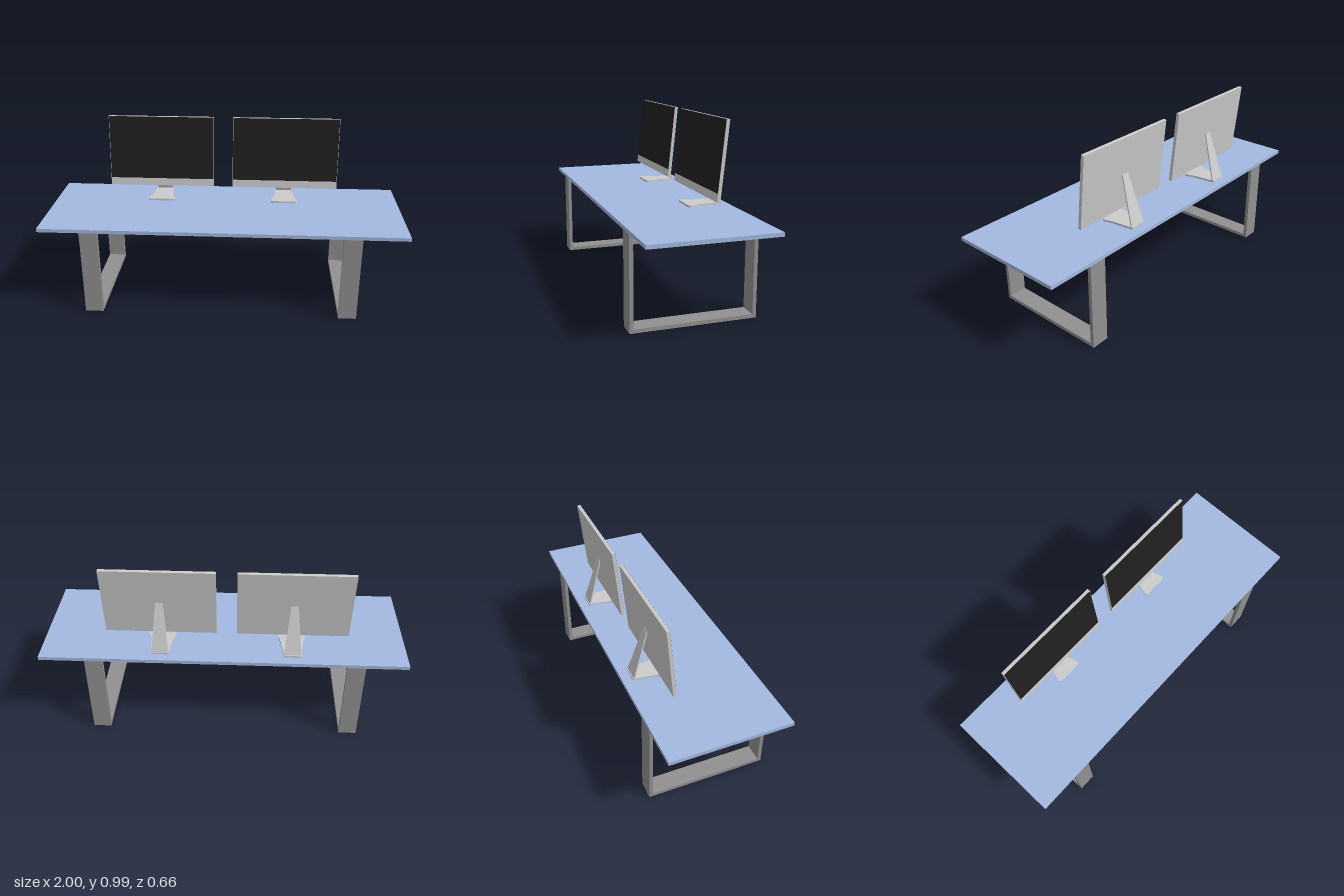
import * as THREE from 'three';

const mat = (color) => new THREE.MeshStandardMaterial({ color });
const grey = mat(0xcccccc);
const darkGrey = mat(0x909090);
const blue = mat(0xa3b9e0);
const black = mat(0x202020);

function add(parent, name, geometry, material, x = 0, y = 0, z = 0) {
  const mesh = new THREE.Mesh(geometry, material);
  mesh.name = name;
  mesh.position.set(x, y, z);
  parent.add(mesh);
  return mesh;
}

function polygon(points) {
  return new THREE.Shape(points.map(([x, y]) => new THREE.Vector2(x, y)));
}

const extrude = (shape, depth) =>
  new THREE.ExtrudeGeometry(shape, { depth, bevelEnabled: false, curveSegments: 6 });

// Rectangular loop of flat bar, extruded along x
function legFrameGeometry() {
  const frame = polygon([[-0.33, 0], [0.33, 0], [0.33, 0.488], [-0.33, 0.488]]);
  frame.holes.push(polygon([[-0.31, 0.02], [-0.31, 0.473], [0.31, 0.473], [0.31, 0.02]]));
  return extrude(frame, 0.1).translate(0, 0, -0.05).rotateY(-Math.PI / 2);
}

// Foot plate that flares towards rounded front corners; shape y becomes -z
function footGeometry() {
  const s = new THREE.Shape();
  s.moveTo(-0.046, 0.278);
  s.lineTo(-0.062, 0.155);
  s.lineTo(-0.076, 0.108);
  s.quadraticCurveTo(-0.078, 0.092, -0.064, 0.092);
  s.lineTo(0.064, 0.092);
  s.quadraticCurveTo(0.078, 0.092, 0.076, 0.108);
  s.lineTo(0.062, 0.155);
  s.lineTo(0.046, 0.278);
  s.closePath();
  return extrude(s, 0.011).rotateX(-Math.PI / 2);
}

function createMonitor() {
  const monitor = new THREE.Group();
  monitor.name = 'monitor';

  // Display panel leaning back about its lower front edge
  const display = new THREE.Group();
  display.name = 'display';
  display.position.set(0, 0.581, -0.15);
  display.rotation.x = -0.102;
  add(display, 'displayBody', new THREE.BoxGeometry(0.61, 0.411, 0.018), grey, 0, 0.2055, -0.009);
  add(display, 'screen', new THREE.BoxGeometry(0.606, 0.366, 0.002), black, 0, 0.2265, 0);
  monitor.add(display);

  // Stand: foot plate and tapering arm up to the back of the display
  add(monitor, 'standFoot', footGeometry(), grey, 0, 0.508, 0);
  const armShape = polygon([[-0.047, 0], [0.047, 0], [0.02, 0.288], [-0.02, 0.288]]);
  const arm = add(monitor, 'standArm', extrude(armShape, 0.007), grey, 0, 0.51, -0.276);
  arm.rotation.x = 0.3;
  return monitor;
}

export function createModel() {
  const model = new THREE.Group();
  model.name = 'deskWithMonitors';

  add(model, 'tabletop', new THREE.BoxGeometry(2, 0.02, 0.66), blue, 0, 0.498, 0);
  for (const x of [-0.72, 0.7]) add(model, 'legFrame', legFrameGeometry(), darkGrey, x);
  for (const x of [-0.378, 0.342]) {
    const monitor = createMonitor();
    monitor.position.x = x;
    model.add(monitor);
  }
  return model;
}
